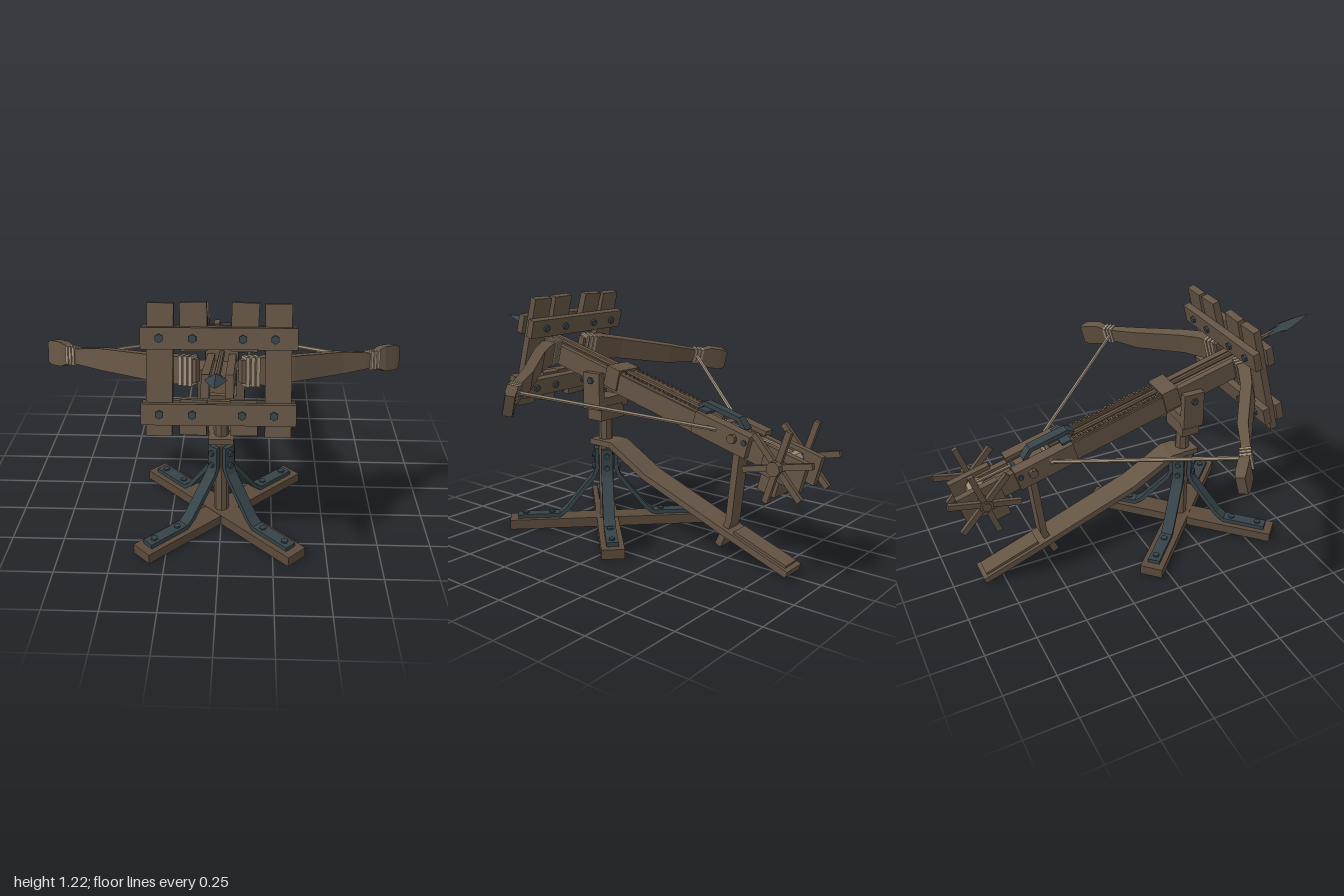
import * as THREE from 'three';

const mat = (name, color) => {
  const m = new THREE.MeshStandardMaterial({ color });
  m.name = name;
  return m;
};
const V = (x, y, z) => new THREE.Vector3(x, y, z);

export function createModel() {
  const wood = mat('wood', 0x645444);
  const baseWood = mat('dark wood', 0x5a4a3b);
  const iron = mat('iron', 0x364349);
  const rope = mat('rope', 0x9c8b78);

  const model = new THREE.Group();
  model.name = 'siegeBow';
  const POST_Z = 0.275;

  // ---- helpers ----
  // faceted mesh from any geometry
  const add = (parent, name, geo, material) => {
    const g = geo.index ? geo.toNonIndexed() : geo;
    g.computeVertexNormals();
    const mesh = new THREE.Mesh(g, material);
    mesh.name = name;
    parent.add(mesh);
    return mesh;
  };
  // box given by its ranges
  const block = (parent, name, [x0, x1], [y0, y1], [z0, z1], material = wood) => {
    const m = add(parent, name, new THREE.BoxGeometry(x1 - x0, y1 - y0, z1 - z0), material);
    m.position.set((x0 + x1) / 2, (y0 + y1) / 2, (z0 + z1) / 2);
    return m;
  };
  // round bar between two points
  const rod = (parent, name, a, b, r, material, sides = 8, r2 = r) => {
    const d = b.clone().sub(a);
    const m = add(parent, name, new THREE.CylinderGeometry(r2, r, d.length(), sides), material);
    m.position.copy(a).addScaledVector(d, 0.5);
    m.quaternion.setFromUnitVectors(V(0, 1, 0), d.normalize());
    return m;
  };
  // bent strip: path of [z, y], given thickness, width along x
  const strap = (parent, name, path, thick, width, material = wood) => {
    const p = path.map(([a, b]) => new THREE.Vector2(a, b));
    const side = (s) => p.map((q, i) => {
      const t = p[Math.min(i + 1, p.length - 1)].clone().sub(p[Math.max(i - 1, 0)]).normalize();
      return new THREE.Vector2(q.x - t.y * s, q.y + t.x * s);
    });
    const shape = new THREE.Shape([...side(thick / 2), ...side(-thick / 2).reverse()]);
    const g = new THREE.ExtrudeGeometry(shape, { depth: width, bevelEnabled: false });
    g.translate(0, 0, -width / 2).rotateY(-Math.PI / 2);
    return add(parent, name, g, material);
  };
  // beam following sections [x, z, height, thickness], x rising
  const bentBeam = (parent, name, sections, y, material = wood) => {
    const n = sections.length - 1;
    const g = new THREE.BoxGeometry(1, 1, 1, n, 1, 1);
    const pos = g.attributes.position;
    for (let i = 0; i < pos.count; i++) {
      const k = Math.round((pos.getX(i) + 0.5) * n);
      const [x, z, h, t] = sections[k];
      const a = sections[Math.max(k - 1, 0)], b = sections[Math.min(k + 1, n)];
      const dir = new THREE.Vector2(b[0] - a[0], b[1] - a[1]).normalize();
      const o = pos.getZ(i) * t;
      pos.setXYZ(i, x - dir.y * o, y + pos.getY(i) * h, z + dir.x * o);
    }
    return add(parent, name, g, material);
  };
  const mirrored = (s, sections) => {
    const r = sections.map(([x, ...rest]) => [s * x, ...rest]);
    return s < 0 ? r.reverse() : r;
  };

  // ---- stand: crossed planks, post and four iron braces ----
  const stand = new THREE.Group();
  stand.name = 'stand';
  stand.position.z = POST_Z;
  model.add(stand);
  [1, -1].forEach((s, i) => {
    const plank = block(stand, 'basePlank', [-0.057, 0.057], [0, 0.05 - i * 0.002], [-0.51, 0.51], baseWood);
    plank.rotation.y = s * Math.PI / 4;
  });
  rod(stand, 'post', V(0, 0.04, 0), V(0, 0.62, 0), 0.037, wood);
  for (let i = 0; i < 4; i++) {
    const leg = new THREE.Group();
    leg.name = 'brace';
    leg.rotation.y = Math.PI / 4 + i * Math.PI / 2;
    stand.add(leg);
    strap(leg, 'braceStrap', [[0.47, 0.058], [0.25, 0.06], [0.21, 0.09], [0.065, 0.27], [0.05, 0.31], [0.05, 0.42]],
      0.022, 0.06, iron);
    for (const r of [0.29, 0.43]) rod(leg, 'braceBolt', V(0, 0.06, r), V(0, 0.078, r), 0.017, iron, 6);
    for (const y of [0.32, 0.385]) rod(leg, 'collarBolt', V(0, y, 0.055), V(0, y, 0.074), 0.015, iron, 6);
  }

  // fork that carries the stock
  block(stand, 'forkBase', [-0.085, 0.085], [0.58, 0.66], [-0.048, 0.048]);
  block(stand, 'forkTie', [-0.1, 0.1], [0.655, 0.7], [-0.055, 0.055]);
  for (const s of [-1, 1]) {
    const cheek = block(stand, 'forkCheek', [-0.019, 0.019], [0.64, 0.83], [-0.055, 0.055]);
    cheek.position.x = s * 0.09;
    rod(stand, 'pivotBolt', V(s * 0.1, 0.79, 0), V(s * 0.12, 0.79, 0), 0.018, iron, 6);
  }

  // ---- steering lever with foot board and strut ----
  block(model, 'leverRing', [-0.06, 0.06], [0.44, 0.47], [0.2, 0.335]);
  strap(model, 'lever', [[0.25, 0.455], [0.19, 0.455], [-0.03, 0.33], [-0.5, 0.155], [-0.855, 0.03]], 0.032, 0.13);
  strap(model, 'leverPad', [[-0.56, 0.155], [-0.84, 0.055]], 0.02, 0.095);
  strap(model, 'strut', [[-0.562, 0.56], [-0.525, 0.2], [-0.468, 0.07]], 0.034, 0.08);

  // ---- weapon: tilted group, local +z runs along the shot ----
  const weapon = new THREE.Group();
  weapon.name = 'weapon';
  weapon.position.set(0, 0.82, 0.27);
  weapon.rotation.x = -Math.PI / 12;
  model.add(weapon);

  // stock
  block(weapon, 'stockFloor', [-0.034, 0.034], [-0.054, 0.015], [-1.1, 0.34]);
  for (const s of [-1, 1]) {
    const put = (name, w, y, z, x, m) => { block(weapon, name, [-w / 2, w / 2], y, z, m).position.x = s * x; };
    put('stockRail', 0.034, [-0.05, 0.05], [-1.15, 0.47], 0.05);
    put('rackRail', 0.016, [0.045, 0.062], [-0.66, -0.1], 0.05);
    put('rearCheek', 0.034, [-0.07, 0.07], [-1.24, -1.03], 0.067);
    put('lockWall', 0.06, [-0.035, 0.07], [-0.95, -0.645], 0.07);
    for (let i = 0; i < 18; i++) {
      const z = -0.16 - i * 0.027;
      put('rackTooth', 0.014, [0.06, 0.07], [z - 0.007, z + 0.007], 0.05);
    }
  }
  block(weapon, 'stockBand', [-0.076, 0.076], [-0.035, 0.072], [-0.145, -0.06]);
  block(weapon, 'rearFoot', [-0.065, 0.065], [-0.155, 0.0], [-1.13, -1.035]);

  // lock: iron plate, claw arm and cross pins
  block(weapon, 'lockFloor', [-0.045, 0.045], [-0.03, 0.045], [-0.95, -0.66]);
  block(weapon, 'lockPlate', [-0.075, 0.075], [0.068, 0.08], [-0.69, -0.64], iron);
  strap(weapon, 'clawArm', [[-0.61, 0.07], [-0.635, 0.092], [-0.83, 0.092], [-0.875, 0.055]], 0.022, 0.05, iron);
  rod(weapon, 'lockPin', V(-0.12, 0.03, -0.87), V(0.12, 0.03, -0.87), 0.022, wood, 8);
  rod(weapon, 'lockPinIron', V(-0.108, 0.035, -0.93), V(0.108, 0.035, -0.93), 0.014, iron, 6);

  // windlass: axle, rope drum and six-spoked hand wheels
  const AX = V(0, 0.014, -1.13);
  rod(weapon, 'axle', V(-0.16, AX.y, AX.z), V(0.16, AX.y, AX.z), 0.022, wood);
  rod(weapon, 'ropeDrum', V(-0.033, AX.y, AX.z), V(0.033, AX.y, AX.z), 0.045, rope, 10);
  rod(weapon, 'winchRope', V(0, 0.055, -1.12), V(0, 0.05, -0.94), 0.008, rope, 6);
  for (const s of [-1, 1]) {
    const wheel = new THREE.Group();
    wheel.name = 'handWheel';
    wheel.position.set(s * 0.127, AX.y, AX.z);
    weapon.add(wheel);
    rod(wheel, 'hub', V(-0.026, 0, 0), V(0.04 * s + (s < 0 ? 0.014 : 0), 0, 0), 0.034, wood, 8);
    for (let i = 0; i < 6; i++) {
      const spoke = new THREE.Group();
      spoke.name = 'spoke';
      spoke.rotation.x = i * Math.PI / 3 - 0.05;
      wheel.add(spoke);
      block(spoke, 'spokeBar', [-0.011, 0.011], [0.02, 0.175], [-0.014, 0.014]);
    }
  }

  // bow frame: planks held between crossbars, bolted front and back
  const FZ = 0.294;
  for (const s of [-1, 1]) {
    const plank = (x, w, y0, y1, tilt) => {
      const m = block(weapon, 'framePlank', [-w / 2, w / 2], [y0, y1], [FZ - 0.018, FZ + 0.018]);
      m.position.x = s * x;
      m.rotation.z = s * tilt;
    };
    plank(0.252, 0.113, -0.251, 0.322, 0.012);
    plank(0.108, 0.115, 0.12, 0.326, -0.03);
    plank(0.108, 0.115, -0.245, -0.09, 0.02);
  }
  for (const y of [0.178, -0.148]) {
    for (const s of [-1, 1]) {
      const z = FZ + s * 0.035;
      const bar = block(weapon, 'crossbar', [-0.33, 0.33], [y - 0.046, y + 0.046], [z - 0.018, z + 0.018]);
      bar.rotation.z = s * 0.006;
      for (const x of [-0.25, -0.11, 0.1, 0.235]) {
        rod(weapon, 'frameBolt', V(x, y, z + s * 0.012), V(x, y, z + s * 0.03), 0.019, iron, 6);
      }
    }
  }

  // bow arms, tip blocks, lashings and string
  const AY = 0.032;
  for (const s of [-1, 1]) {
    bentBeam(weapon, 'bowArm', mirrored(s, [
      [0.09, 0.285, 0.1, 0.05], [0.2, 0.25, 0.125, 0.06], [0.31, 0.19, 0.112, 0.055],
      [0.54, 0.02, 0.1, 0.05], [0.66, -0.045, 0.075, 0.042], [0.74, -0.1, 0.06, 0.036]]), AY);
    bentBeam(weapon, 'armTip', mirrored(s, [
      [0.72, -0.088, 0.085, 0.04], [0.75, -0.108, 0.115, 0.05],
      [0.805, -0.158, 0.118, 0.05], [0.828, -0.18, 0.095, 0.042]]), AY);
    for (let i = 0; i < 3; i++) {
      const x = 0.675 + i * 0.017, z = -0.055 - i * 0.011;
      bentBeam(weapon, 'tipLashing', mirrored(s, [[x, z, 0.086, 0.054], [x + 0.012, z - 0.008, 0.086, 0.054]]), AY, rope);
    }
    for (let i = 0; i < 3; i++) {
      const x = 0.105 + i * 0.022, z = 0.281 - i * 0.007;
      bentBeam(weapon, 'rootLashing', mirrored(s, [[x, z, 0.128, 0.07], [x + 0.015, z - 0.005, 0.128, 0.07]]), AY, rope);
    }
    rod(weapon, 'bowstring', V(s * 0.69, AY, -0.075), V(s * 0.09, AY, -0.775), 0.01, rope, 6);
  }
  rod(weapon, 'stringCentre', V(-0.1, AY + 0.02, -0.77), V(0.1, AY + 0.02, -0.77), 0.01, rope, 6);

  // bolt with flattened iron head
  const BY = 0.054;
  rod(weapon, 'boltShaft', V(0, BY, -0.74), V(0, BY, 0.56), 0.014, wood, 8);
  const head = add(weapon, 'boltHead', new THREE.LatheGeometry(
    [[0, 0], [0.022, 0], [0.03, 0.07], [0.046, 0.09], [0.026, 0.18], [0, 0.255]].map(([r, y]) => new THREE.Vector2(r, y)), 4), iron);
  head.position.set(0, BY, 0.515);
  head.rotation.x = Math.PI / 2;
  head.scale.z = 0.6;

  return model;
}
